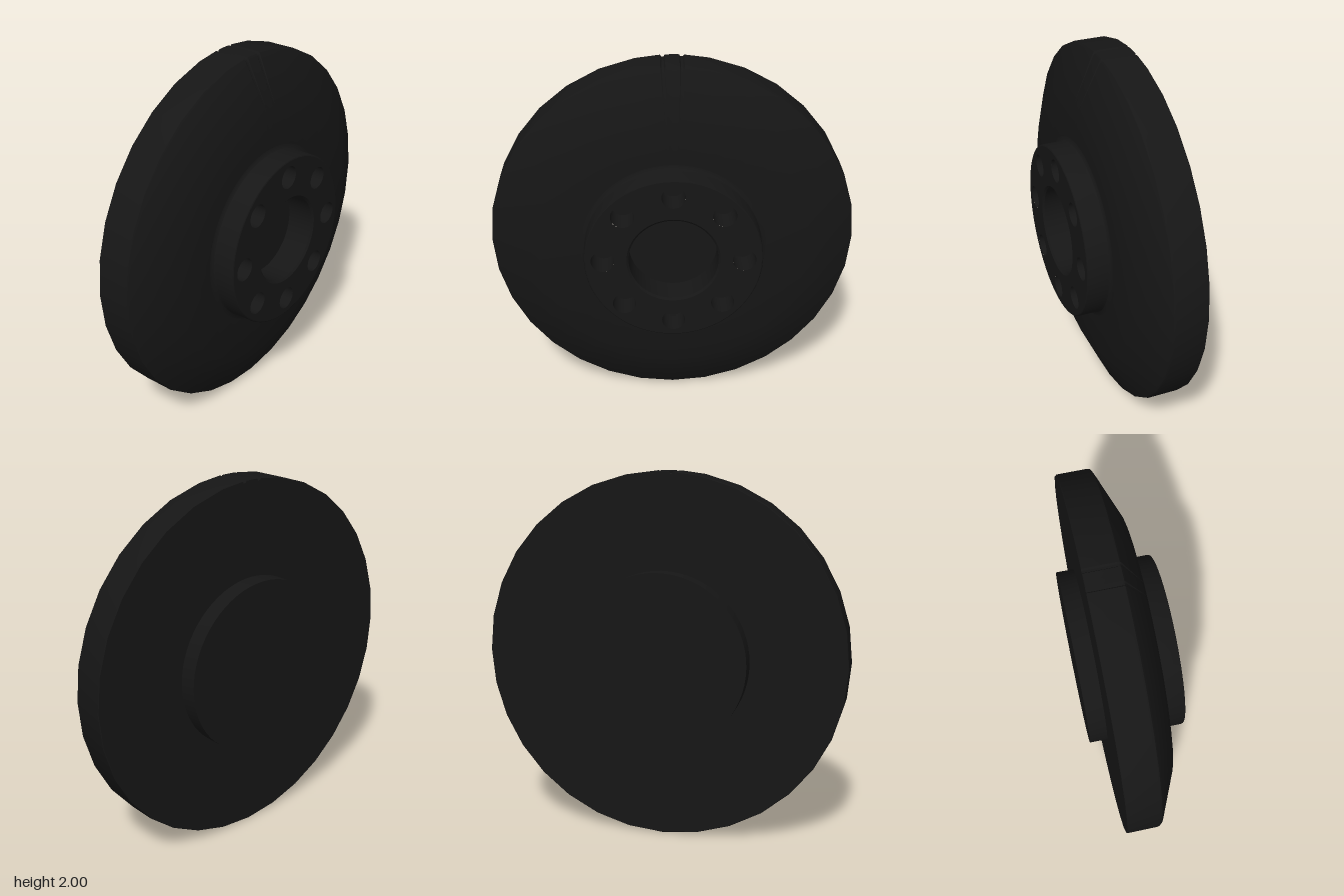
import * as THREE from 'three';
import { toCreasedNormals } from 'three/addons/utils/BufferGeometryUtils.js';

const material = new THREE.MeshStandardMaterial({ color: 0x161616 });
const FACE = 0.26, HOLES = 8, HOLE_R = 0.063, HOLE_RING = 0.38, BORE_R = 0.252;

const profile = (pts) => pts.map(([r, h]) => new THREE.Vector2(r, h));

function part(name, geometry) {
  const mesh = new THREE.Mesh(toCreasedNormals(geometry, 0.5), material);
  mesh.name = name;
  return mesh;
}

const turned = (name, pts, sides) => part(name, new THREE.LatheGeometry(profile(pts), sides));

// Wide bevelled disc, 32 sides, with two small grooves cut across the top of the rim
function flange() {
  const pts = profile([
    [0.44, -0.17], [0.997, -0.17], [1, -0.167], [1, 0.002], [0.996, 0.014],
    [0.985, 0.022], [0.74, 0.13], [0.44, 0.13],
  ]);
  const top = Math.PI * 1.5;
  const stations = [];
  for (let i = 0; i <= 32; i++) stations.push({ a: (i / 32) * Math.PI * 2, depth: 0 });
  for (const centre of [-0.05, 0.05]) {
    for (const [offset, depth] of [[-0.013, 0], [-0.006, 0.01], [0.006, 0.01], [0.013, 0]]) {
      stations.push({ a: top + centre + offset, depth });
    }
  }
  stations.sort((p, q) => p.a - q.a);

  const geometry = new THREE.LatheGeometry(pts, stations.length - 1);
  const pos = geometry.attributes.position;
  stations.forEach(({ a, depth }, i) => pts.forEach((p, j) => {
    const r = p.x > 0.98 ? p.x - depth : p.x;
    pos.setXYZ(i * pts.length + j, r * Math.sin(a), p.y, r * Math.cos(a));
  }));
  return part('flange', geometry);
}

// Flat ring on the hub, pierced by the bore and the bolt holes
function hubFace(centres) {
  const shape = new THREE.Shape().absarc(0, 0, 0.472, 0, Math.PI * 2);
  const cut = (x, y, r) => shape.holes.push(new THREE.Path().absarc(x, y, r, 0, Math.PI * 2, true));
  cut(0, 0, BORE_R);
  centres.forEach(([x, z]) => cut(x, -z, HOLE_R));
  const geometry = new THREE.ShapeGeometry(shape, 32);
  geometry.rotateX(-Math.PI / 2);
  geometry.translate(0, FACE, 0);
  return part('hubFace', geometry);
}

export function createModel() {
  const model = new THREE.Group();
  model.name = 'flangedWheel';

  // Everything is turned about y, then the axle is laid along x
  const wheel = new THREE.Group();
  wheel.name = 'wheel';
  wheel.rotation.z = -Math.PI / 2;
  wheel.position.y = 1;
  model.add(wheel);

  wheel.add(flange());
  wheel.add(turned('backBoss', [[0, -0.265], [0.48, -0.265], [0.48, -0.165]], 64));

  // Front hub with a fillet at its foot and a bevelled lip
  wheel.add(turned('frontHub', [
    [0.505, 0.13], [0.493, 0.133], [0.484, 0.14], [0.48, 0.152],
    [0.48, 0.25], [0.477, 0.257], [0.472, FACE],
  ], 64));

  const centres = Array.from({ length: HOLES }, (_, i) => {
    const a = (i / HOLES) * Math.PI * 2;
    return [HOLE_RING * Math.cos(a), HOLE_RING * Math.sin(a)];
  });
  wheel.add(hubFace(centres));

  // Blind centre bore
  wheel.add(turned('centreBore', [[BORE_R, FACE], [0.241, 0.25], [0.241, 0.1], [0, 0.1]], 64));

  // Blind bolt holes
  for (const [x, z] of centres) {
    const hole = turned('boltHole', [[HOLE_R, FACE], [HOLE_R, 0.12], [0, 0.12]], 32);
    hole.position.set(x, 0, z);
    wheel.add(hole);
  }
  return model;
}
